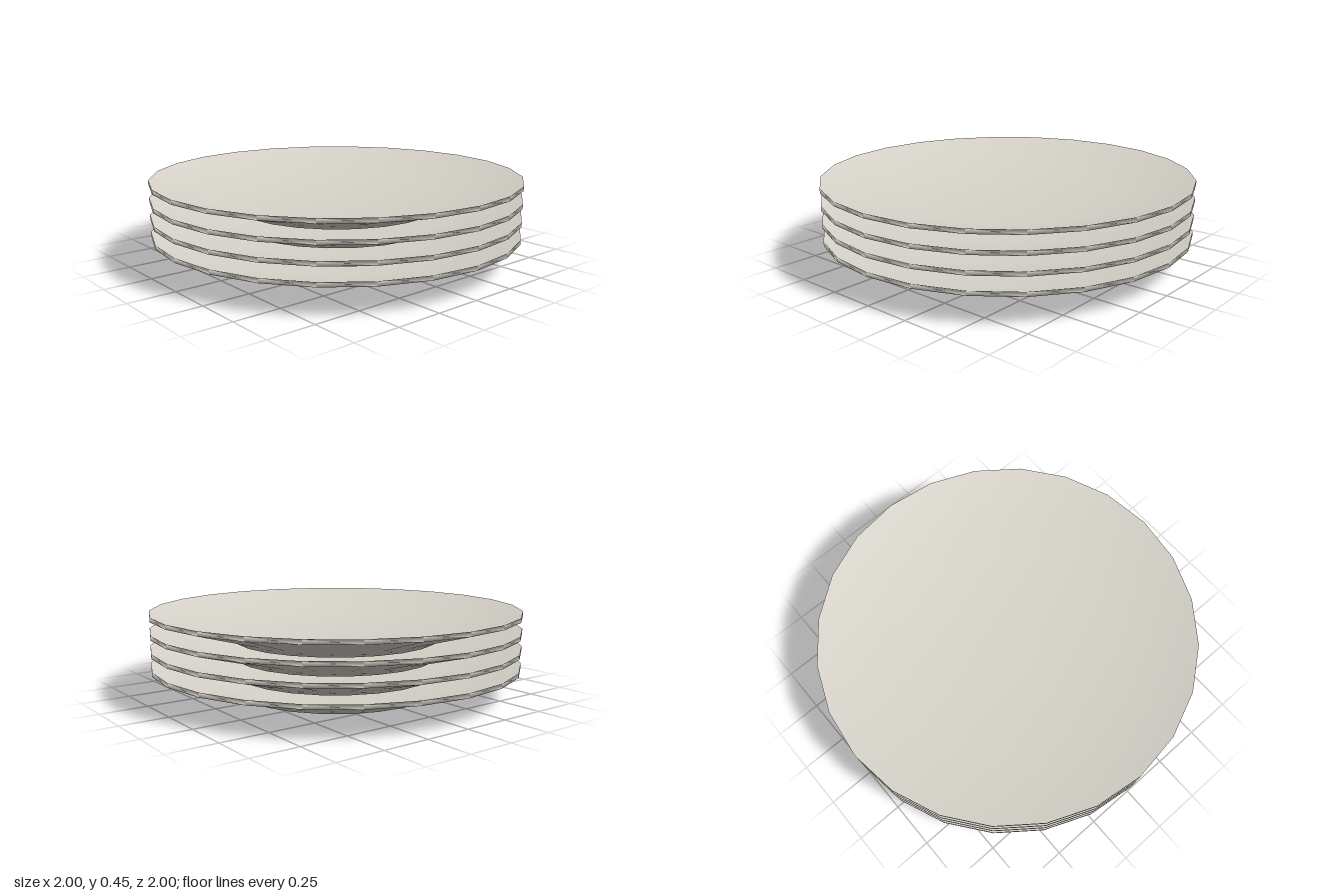
import * as THREE from 'three';

// Half cross-section of one plate: underside, foot, rim, then the dished top
const PROFILE = [
  [0, 0], [0.55, 0], [0.6, 0.032], [1, 0.144],
  [1, 0.168], [0.6, 0.06], [0, 0.06],
].map(([r, y]) => new THREE.Vector2(r, y));

const COUNT = 4;
const SPACING = 0.0935;

export function createModel() {
  const group = new THREE.Group();
  group.name = 'plateStack';

  const ceramic = new THREE.MeshStandardMaterial({ color: 0xd8d4cb });
  ceramic.name = 'ceramic';

  const geometry = new THREE.LatheGeometry(PROFILE, 24);

  // Nested plates, each resting in the one below
  for (let i = 0; i < COUNT; i++) {
    const plate = new THREE.Mesh(geometry, ceramic);
    plate.name = `plate${i + 1}`;
    plate.position.y = i * SPACING;
    group.add(plate);
  }
  return group;
}
